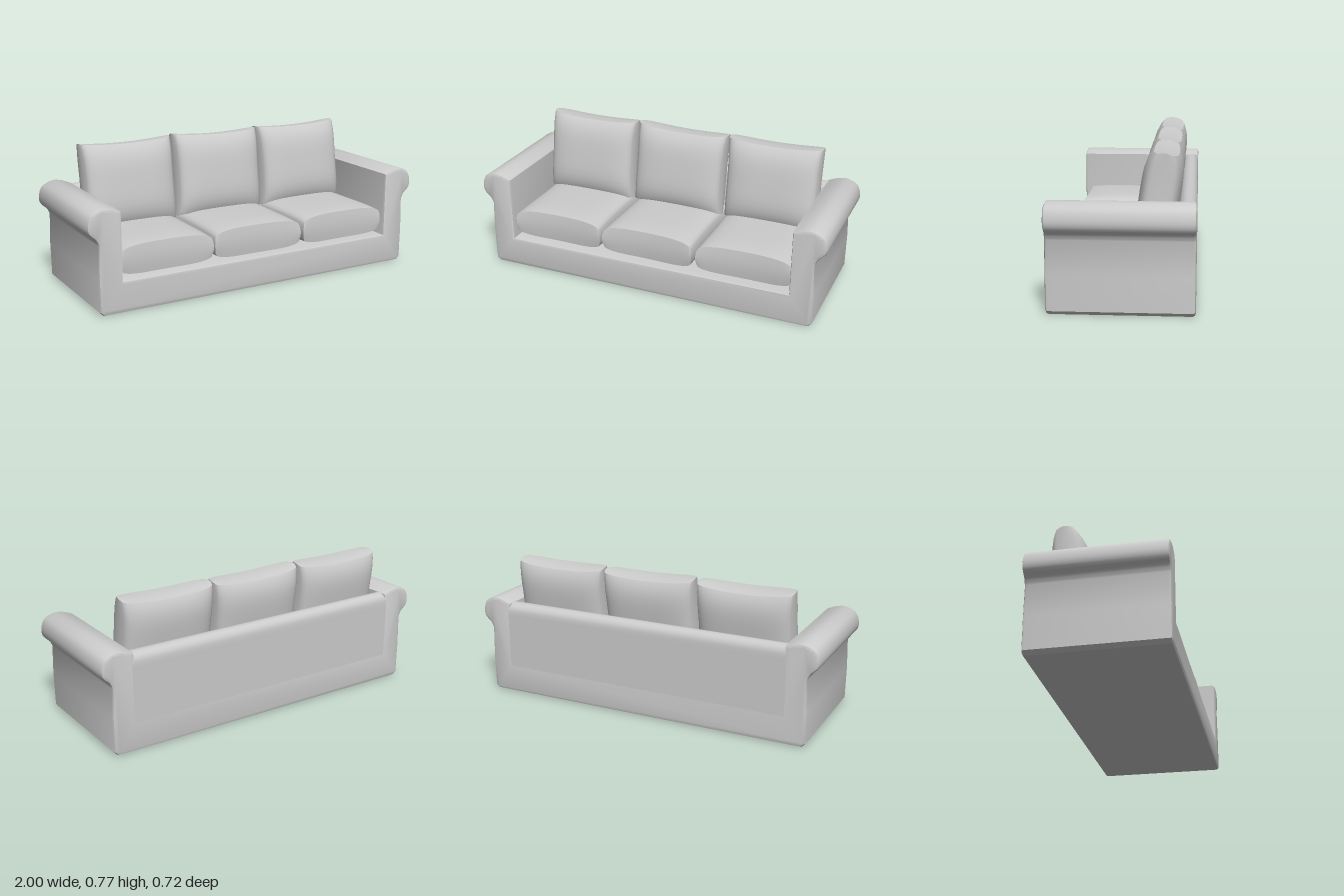
import * as THREE from 'three';
import { toCreasedNormals } from 'three/addons/utils/BufferGeometryUtils.js';

const material = new THREE.MeshStandardMaterial({ color: 0xcccccc });

function addMesh(parent, name, geometry, crease = 0.7) {
  const mesh = new THREE.Mesh(toCreasedNormals(geometry, crease), material);
  mesh.name = name;
  parent.add(mesh);
  return mesh;
}

// Closed outline extruded with a bevel that stays inside the outline
function extrude(points, length, bevel) {
  const shape = new THREE.Shape(points.map(([x, y]) => new THREE.Vector2(x, y)));
  const geometry = new THREE.ExtrudeGeometry(shape, {
    depth: length - 2 * bevel, bevelEnabled: bevel > 0,
    bevelThickness: bevel, bevelSize: bevel, bevelOffset: -bevel, bevelSegments: 2,
  });
  return geometry.translate(0, 0, bevel - length / 2);
}

// Pillow in the xy plane: pinched edges, corners drawn out, thickness fading to the rim
function pillow(halfW, halfH, halfT, rim, taper) {
  const geometry = new THREE.BoxGeometry(2, 2, 2, 16, 16, 4);
  const p = geometry.attributes.position;
  for (let i = 0; i < p.count; i++) {
    const u = Math.sin(p.getX(i) * Math.PI / 2);
    const v = Math.sin(p.getY(i) * Math.PI / 2);
    const s = p.getZ(i);
    const swell = rim + (1 - rim) * Math.sqrt(Math.max(0, 1 - u ** 4));
    const roundEdge = 1 - 0.025 * s * s;
    p.setXYZ(i,
      halfW * u * (1 - 0.025 * (1 - v * v)) * roundEdge,
      halfH * v * (1 - 0.06 * (1 - u * u)) * roundEdge,
      halfT * s * swell * (1 - taper * v ** 4));
  }
  return geometry;
}

export function createModel() {
  const sofa = new THREE.Group();
  sofa.name = 'sofa';

  // Base and both rolled arms share one U-shaped section
  const roll = new THREE.CatmullRomCurve3([
    [0.943, 0.37], [0.958, 0.4], [0.99, 0.43], [1, 0.465], [0.985, 0.52],
    [0.95, 0.545], [0.91, 0.555], [0.865, 0.547], [0.817, 0.528],
  ].map(([x, y]) => new THREE.Vector3(x, y, 0))).getPoints(24).map((q) => [q.x, q.y]);
  const half = [[0.925, 0], [0.945, 0.02], [0.948, 0.2], ...roll, [0.815, 0.168]];
  const mirrored = half.map(([x, y]) => [-x, y]).reverse();
  addMesh(sofa, 'baseAndArms', extrude([...half, ...mirrored], 0.724, 0.016));

  // Backrest with a rounded top, running between the arms
  const back = [[0.27, 0.015], [0.361, 0.015], [0.361, 0.46]];
  for (let i = 0; i <= 8; i++) {
    const a = (i / 8) * Math.PI;
    back.push([0.3155 + 0.0455 * Math.cos(a), 0.485 + 0.046 * Math.sin(a)]);
  }
  addMesh(sofa, 'backrest', extrude(back, 1.7, 0).rotateY(Math.PI / 2));

  // Three seat cushions and three leaning back cushions
  const rolls = [-0.004, -0.018, 0.004];
  [-0.55, 0, 0.55].forEach((x, i) => {
    const seat = addMesh(sofa, 'seatCushion', pillow(0.268, 0.285, 0.09, 0.55, 0.12));
    seat.rotation.set(-Math.PI / 2, 0, rolls[i]);
    seat.position.set(x, 0.255, 0.04);

    const rest = addMesh(sofa, 'backCushion', pillow(0.268, 0.232, 0.103, 0.5, 0.38));
    rest.rotation.set(-0.15, 0, rolls[i]);
    rest.position.set(x, 0.538, -0.176);
  });
  return sofa;
}
